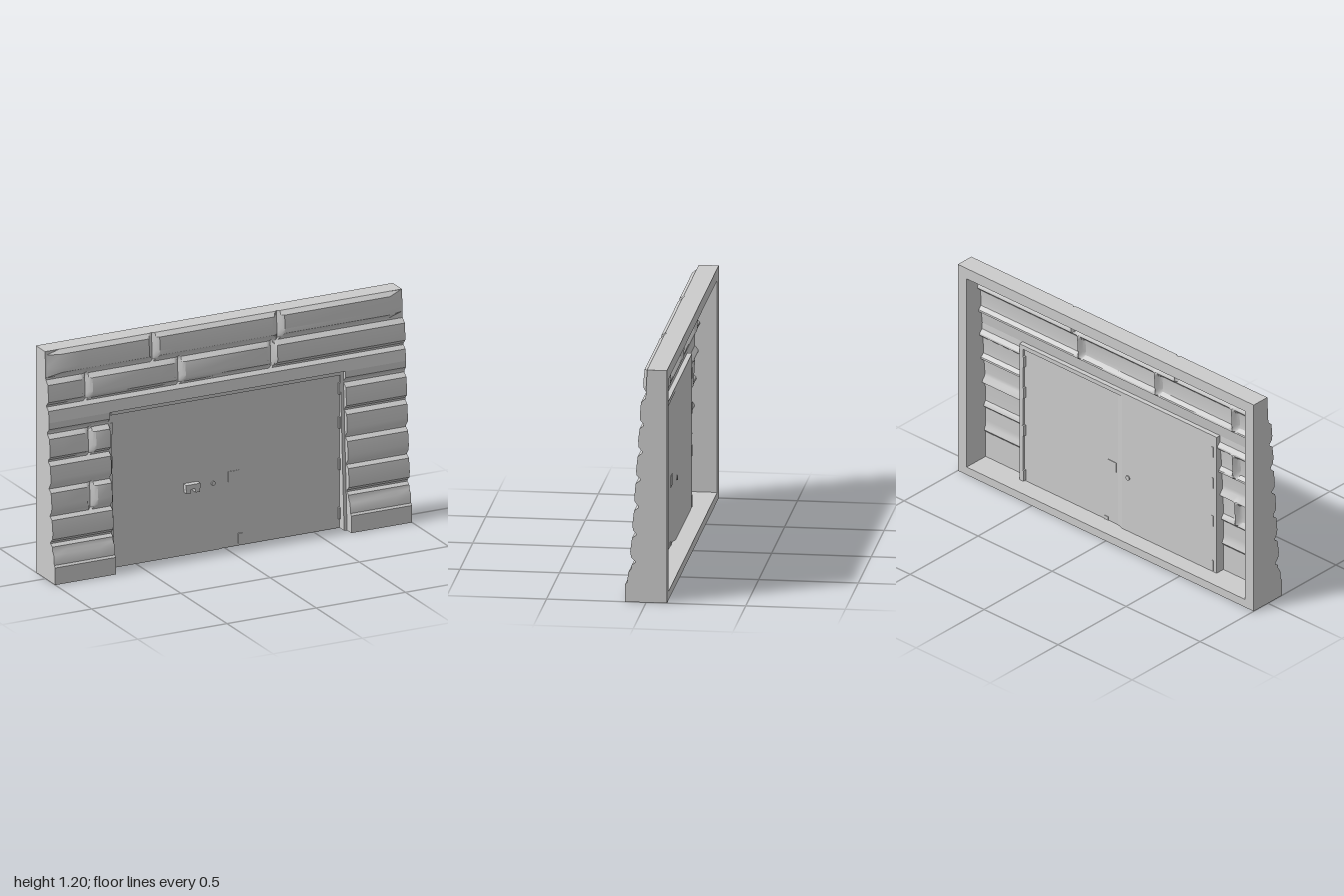
import * as THREE from 'three';
import { toCreasedNormals } from 'three/addons/utils/BufferGeometryUtils.js';

const material = new THREE.MeshStandardMaterial({ color: 0xcccccc });

// Height [y] and front depth [z] of the leaning, rounded block courses
const profile = [
  [0, 0.105], [0.09, 0.105], [0.1, 0.095], [0.15, 0.09], [0.17, 0.076], [0.19, 0.073],
  [0.203, 0.055], [0.213, 0.057], [0.23, 0.075], [0.26, 0.08], [0.33, 0.071],
  [0.345, 0.05], [0.355, 0.052], [0.372, 0.066], [0.4, 0.069], [0.47, 0.061],
  [0.487, 0.039], [0.497, 0.041], [0.52, 0.058], [0.54, 0.059], [0.61, 0.053],
  [0.628, 0.03], [0.638, 0.031], [0.655, 0.049], [0.68, 0.05], [0.75, 0.043],
  [0.77, 0.02], [0.78, 0.021], [0.8, 0.038], [0.835, 0.04], [0.895, 0.033],
  [0.912, 0.012], [0.922, 0.013], [0.94, 0.03], [0.96, 0.032], [1.03, 0.026],
  [1.052, 0.003], [1.062, 0.004], [1.085, 0.023], [1.11, 0.025], [1.18, 0.018], [1.2, -0.005],
];

// Vertical joints: x, lowest y, highest y
const joints = [
  [-0.4, 1.06, 1.2], [0.3, 1.06, 1.2],
  [-0.78, 0.917, 1.057], [-0.26, 0.917, 1.057], [0.26, 0.917, 1.057],
  [-0.77, 0.633, 0.775], [-0.77, 0.35, 0.492],
];

const mortar = (y) => 0.067 - 0.062 * y;

function frontDepth(x, [y, z]) {
  for (const [jx, low, high] of joints) {
    if (y < low || y > high) continue;
    z = Math.min(z, mortar(y) - 0.005 + Math.abs(x - jx) * 1.2);
  }
  // the top course thins out gently at the wall ends
  if (y > 1.06) z = Math.min(z, mortar(y) + (1 - Math.abs(x)) * 0.35);
  return z;
}

function mesh(parent, name, geometry, x = 0, y = 0, z = 0) {
  const m = new THREE.Mesh(geometry, material);
  m.name = name;
  m.position.set(x, y, z);
  parent.add(m);
  return m;
}

// Box given by its limits
function block(parent, name, x0, x1, y0, y1, z0, z1) {
  return mesh(parent, name, new THREE.BoxGeometry(x1 - x0, y1 - y0, z1 - z0),
    (x0 + x1) / 2, (y0 + y1) / 2, (z0 + z1) / 2);
}

// Side outline of [z, y] points carried along x from x0 to x1
function prism(parent, name, x0, x1, outline) {
  const shape = new THREE.Shape(outline.map(([z, y]) => new THREE.Vector2(-z, y)));
  const g = new THREE.ExtrudeGeometry(shape, { depth: x1 - x0, bevelEnabled: false });
  return mesh(parent, name, g.rotateY(Math.PI / 2), x0);
}

// Block wall skin: a subdivided box whose front and back follow the courses
function wallSkin(parent, name, x0, x1, y0, y1) {
  const rows = profile.filter(([y]) => y >= y0 && y <= y1);
  const cuts = [x0, x1, -0.92, 0.92];
  for (const [jx, low] of joints) {
    if (low >= y0 && low < y1) for (const d of [-0.03, -0.015, 0, 0.015, 0.03]) cuts.push(jx + d);
  }
  const xs = [...new Set(cuts)].filter((x) => x >= x0 && x <= x1).sort((a, b) => a - b);
  const nx = xs.length - 1, ny = rows.length - 1;
  const g = new THREE.BoxGeometry(1, 1, 1, nx, ny, 1);
  const p = g.attributes.position;
  for (let i = 0; i < p.count; i++) {
    const x = xs[Math.round((p.getX(i) + 0.5) * nx)];
    const row = rows[Math.round((p.getY(i) + 0.5) * ny)];
    const front = frontDepth(x, row);
    p.setXYZ(i, x, row[0], p.getZ(i) > 0 ? front : Math.min(front - 0.03, 0.035));
  }
  return mesh(parent, name, toCreasedNormals(g, 0.6));
}

export function createModel() {
  const model = new THREE.Group();
  model.name = 'wallWithDoubleDoor';

  // Wall around the doorway
  const wall = new THREE.Group();
  wall.name = 'blockWall';
  model.add(wall);
  wallSkin(wall, 'rightPier', -1, -0.66, 0, 0.835);
  wallSkin(wall, 'leftPier', 0.66, 1, 0, 0.835);
  wallSkin(wall, 'upperCourses', -1, 1, 0.835, 1.2);

  // Deep border, open at the back
  const border = new THREE.Group();
  border.name = 'backBorder';
  model.add(border);
  for (const x of [-1, 0.94]) {
    prism(border, 'borderSide', x, x + 0.06, [[-0.105, 0], [-0.105, 1.2], [-0.005, 1.2], [0.058, 0]]);
  }
  // top bar with a sloping underside
  prism(border, 'borderTop', -0.94, 0.94,
    [[-0.105, 1.14], [-0.105, 1.2], [-0.012, 1.2], [-0.012, 1.1], [-0.03, 1.1], [-0.085, 1.14]]);
  block(border, 'borderBottom', -0.94, 0.94, 0, 0.045, -0.105, 0.004);
  for (const x of [-0.94, 0.66]) block(border, 'pierFloor', x, x + 0.28, 0, 0.045, 0.004, 0.05);

  // Door surround; the jambs reach forward into the leaning piers
  const door = new THREE.Group();
  door.name = 'doubleDoor';
  model.add(door);
  for (const x of [-0.667, 0.643]) {
    prism(door, 'jamb', x, x + 0.024, [[-0.015, 0], [-0.015, 0.835], [0.016, 0.835], [0.058, 0]]);
  }
  block(door, 'lintel', -0.645, 0.645, 0.812, 0.835, -0.015, 0.022);

  // Two leaves, the left one slimmer
  block(door, 'rightLeaf', -0.645, -0.028, 0, 0.812, -0.015, 0.013);
  block(door, 'leftLeaf', -0.03, 0.645, 0, 0.812, -0.003, 0.007);
  // sloping cover behind the meeting edge
  const cover = new THREE.Shape([[-0.03, 0.015], [-0.03, 0], [0.02, 0]].map(([x, y]) => new THREE.Vector2(x, y)));
  mesh(door, 'meetingCover', new THREE.ExtrudeGeometry(cover, { depth: 0.79, bevelEnabled: false })
    .rotateX(-Math.PI / 2), 0, 0.02, 0);

  // Fittings
  const pull = new THREE.Group();
  pull.name = 'doorPull';
  door.add(pull);
  block(pull, 'pullPlate', -0.235, -0.155, 0.355, 0.38, 0.012, 0.045);
  for (const x of [-0.22, -0.17]) block(pull, 'pullFoot', x - 0.012, x + 0.012, 0.335, 0.357, 0.012, 0.045);
  const knob = mesh(door, 'knob', new THREE.CylinderGeometry(0.011, 0.013, 0.04, 16), -0.068, 0.355, 0);
  knob.rotation.x = Math.PI / 2;
  block(door, 'lockPlate', 0.02, 0.08, 0.345, 0.4, -0.006, 0.01);
  block(door, 'floorBolt', 0.075, 0.1, 0.01, 0.065, -0.006, 0.012);
  for (const y of [0.08, 0.34, 0.56, 0.74]) {
    for (const x of [-0.64, 0.64]) block(door, 'hinge', x - 0.006, x + 0.006, y - 0.03, y + 0.03, -0.018, 0.02);
  }
  return model;
}
